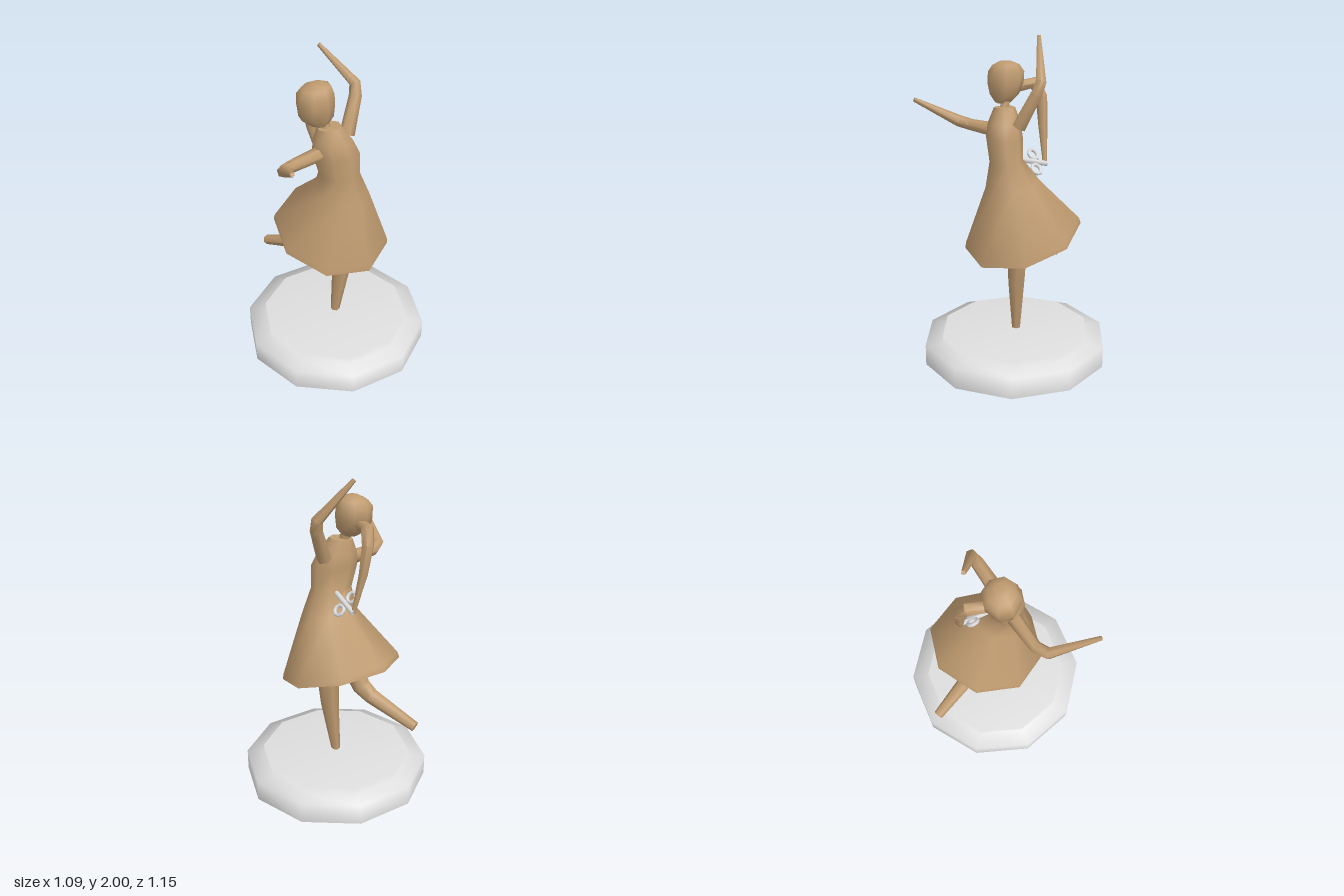
import * as THREE from 'three';
import { toCreasedNormals } from 'three/addons/utils/BufferGeometryUtils.js';

const V = (x, y, z) => new THREE.Vector3(x, y, z);

// Skin a list of equal-sized rings and close both ends
function loft(rings) {
  const n = rings[0].length, pos = [], idx = [];
  const push = (p) => pos.push(p.x, p.y, p.z) / 3 - 1;
  rings.forEach((ring) => ring.forEach(push));
  for (let i = 0; i < rings.length - 1; i++) {
    for (let k = 0; k < n; k++) {
      const a = i * n + k, b = i * n + (k + 1) % n;
      idx.push(a, a + n, b, b, a + n, b + n);
    }
  }
  [0, rings.length - 1].forEach((r, end) => {
    const mid = V(0, 0, 0);
    rings[r].forEach((p) => mid.addScaledVector(p, 1 / n));
    const c = push(mid);
    for (let k = 0; k < n; k++) {
      const a = r * n + k, b = r * n + (k + 1) % n;
      if (end) idx.push(c, b, a); else idx.push(c, a, b);
    }
  });
  const g = new THREE.BufferGeometry();
  g.setAttribute('position', new THREE.Float32BufferAttribute(pos, 3));
  g.setIndex(idx);
  return toCreasedNormals(g, 1.05);
}

// Level ring with centre, radii and optional slope in x and z
function ring([x, y, z, rx, rz, sx = 0, sz = 0], n = 8, start = 15) {
  return Array.from({ length: n }, (_, k) => {
    const a = THREE.MathUtils.degToRad(start) + (k / n) * Math.PI * 2;
    const dx = rx * Math.cos(a), dz = rz * Math.sin(a);
    return V(x + dx, y + dx * sx + dz * sz, z + dz);
  });
}

// Tapered bent limb through points [x, y, z, radius]
function limb(points, n = 6) {
  const p = points.map((q) => V(q[0], q[1], q[2]));
  let u = V(0.94, 0.05, 0.33);
  return loft(p.map((c, i) => {
    const t = V(0, 0, 0);
    if (i > 0) t.add(c.clone().sub(p[i - 1]).normalize());
    if (i < p.length - 1) t.add(p[i + 1].clone().sub(c).normalize());
    t.normalize();
    u = u.clone().addScaledVector(t, -u.dot(t)).normalize();
    const v = u.clone().cross(t);
    return Array.from({ length: n }, (_, k) => {
      const a = (k / n) * Math.PI * 2, r = points[i][3];
      return c.clone().addScaledVector(u, r * Math.cos(a)).addScaledVector(v, r * Math.sin(a));
    });
  }));
}

export function createModel() {
  const group = new THREE.Group();
  const bronze = new THREE.MeshStandardMaterial({ color: 0xbf9b70 });
  bronze.name = 'bronze';
  const white = new THREE.MeshStandardMaterial({ color: 0xdedede, side: THREE.DoubleSide });
  white.name = 'white';
  const add = (name, geometry, material, parent = group) => {
    const mesh = new THREE.Mesh(geometry, material);
    mesh.name = name;
    parent.add(mesh);
    return mesh;
  };

  // Stepped ten-sided pedestal, hollow underneath
  const step = [[0.575, 0], [0.575, 0.13], [0.465, 0.13], [0.465, 0.18], [0, 0.18]];
  add('pedestal', new THREE.LatheGeometry(step.map((s) => new THREE.Vector2(...s)), 10), white);

  // Dress: skirt lining, tilted hem, waist, bodice and shoulders
  add('dress', loft([
    [0.02, 1.12, 0.02, 0.12, 0.12, -0.1, -0.15],
    [-0.017, 0.785, -0.056, 0.33, 0.33, -0.148, -0.272],
    [-0.017, 0.785, -0.056, 0.355, 0.355, -0.148, -0.272],
    [-0.015, 0.82, -0.052, 0.347, 0.347, -0.148, -0.272],
    [0.035, 1.14, 0.025, 0.165, 0.16, -0.11, -0.17],
    [0.012, 1.28, 0.057, 0.123, 0.097, 0, -0.1],
    [-0.008, 1.42, 0.062, 0.138, 0.106],
    [-0.025, 1.5, 0.058, 0.117, 0.095],
    [-0.045, 1.588, 0.05, 0.07, 0.062, 0.08, 0],
  ].map((r) => ring(r))), bronze);

  // Head and neck
  add('neck', limb([[-0.06, 1.56, 0.05, 0.03], [-0.08, 1.67, 0.025, 0.028]]), bronze);
  add('head', loft([
    [-0.1, 1.605, 0.045, 0.05, 0.045],
    [-0.115, 1.65, 0.032, 0.1, 0.085],
    [-0.115, 1.72, 0.024, 0.108, 0.107],
    [-0.115, 1.785, 0.02, 0.106, 0.107],
    [-0.112, 1.825, 0.022, 0.085, 0.08, 0.1, 0],
    [-0.105, 1.845, 0.025, 0.04, 0.04],
  ].map((r) => ring(r))), bronze);
  add('ponytail', limb([
    [-0.13, 1.69, -0.06, 0.035], [-0.14, 1.705, -0.16, 0.04], [-0.13, 1.62, -0.205, 0.036],
    [-0.105, 1.45, -0.207, 0.028], [-0.05, 1.22, -0.205, 0.013],
  ]), bronze);

  // Arms
  add('rightArm', limb([
    [-0.09, 1.44, 0.08, 0.045], [-0.29, 1.438, 0.195, 0.036],
    [-0.34, 1.455, 0.26, 0.036], [-0.328, 1.605, 0.535, 0.013],
  ]), bronze);
  add('leftArm', limb([
    [0.07, 1.49, -0.005, 0.045], [0.135, 1.69, -0.09, 0.038],
    [0.137, 1.76, -0.115, 0.034], [-0.06, 1.99, -0.163, 0.013],
  ]), bronze);

  // Standing leg and raised leg
  add('leftLeg', limb([
    [0.0, 0.17, -0.008, 0.028], [0.037, 0.51, 0, 0.056], [0.05, 0.72, 0, 0.068], [0.05, 1.0, 0, 0.07],
  ]), bronze);
  add('rightLeg', limb([
    [-0.02, 0.95, -0.05, 0.07], [-0.13, 0.68, -0.125, 0.057],
    [-0.18, 0.63, -0.18, 0.048], [-0.385, 0.512, -0.4, 0.031],
  ]), bronze);

  // Wind-up key in the back: shaft along local y, loops to either side
  const key = new THREE.Group();
  key.name = 'windUpKey';
  group.add(key);
  const along = V(-0.24, -0.27, -0.93).normalize();
  const side = V(-0.7, 0.7, 0);
  side.addScaledVector(along, -side.dot(along)).normalize();
  key.quaternion.setFromRotationMatrix(
    new THREE.Matrix4().makeBasis(side, along, side.clone().cross(along)));
  key.position.set(0.005, 1.28, -0.02);
  add('keyShaft', new THREE.CylinderGeometry(0.016, 0.016, 0.22, 6), white, key).position.y = 0.1;
  for (const s of [-1, 1]) {
    add('keyLoop', new THREE.TorusGeometry(0.032, 0.012, 6, 8), white, key).position.set(s * 0.052, 0.12, 0);
  }
  return group;
}
